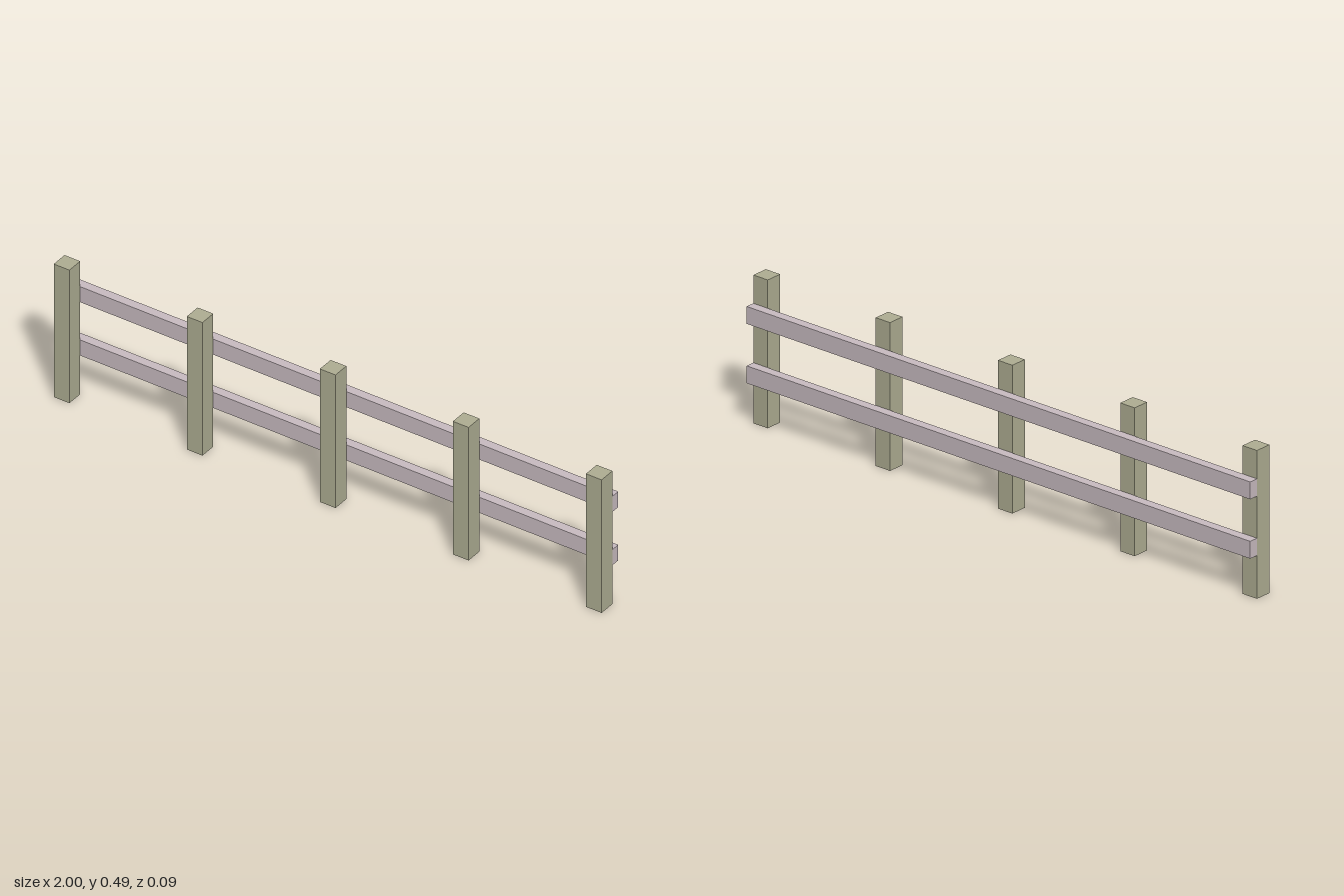
import * as THREE from 'three';

const POST = 0.057, POST_HEIGHT = 0.487, RAIL_DEPTH = 0.031;
const POST_BACK = -0.013;

export function createModel() {
  const fence = new THREE.Group();
  fence.name = 'fence';

  const postWood = new THREE.MeshStandardMaterial({ color: 0xb0af94 });
  postWood.name = 'olive wood';
  const railWood = new THREE.MeshStandardMaterial({ color: 0xcabdc2 });
  railWood.name = 'pale mauve wood';

  const addBox = (name, size, position, material) => {
    const mesh = new THREE.Mesh(new THREE.BoxGeometry(...size), material);
    mesh.name = name;
    mesh.position.set(...position);
    fence.add(mesh);
  };

  // Five evenly spaced square posts, flush with the rail ends
  const spacing = (2 - POST) / 4;
  for (let i = -2; i <= 2; i++) {
    addBox(`post${i + 3}`, [POST, POST_HEIGHT, POST],
      [i * spacing, POST_HEIGHT / 2, POST_BACK + POST / 2], postWood);
  }

  // Two full-length rails fixed to the back of the posts
  const rails = { lowerRail: 0.1705, upperRail: 0.3655 };
  for (const [name, y] of Object.entries(rails)) {
    addBox(name, [2, POST, RAIL_DEPTH], [0, y, POST_BACK - RAIL_DEPTH / 2], railWood);
  }

  return fence;
}
